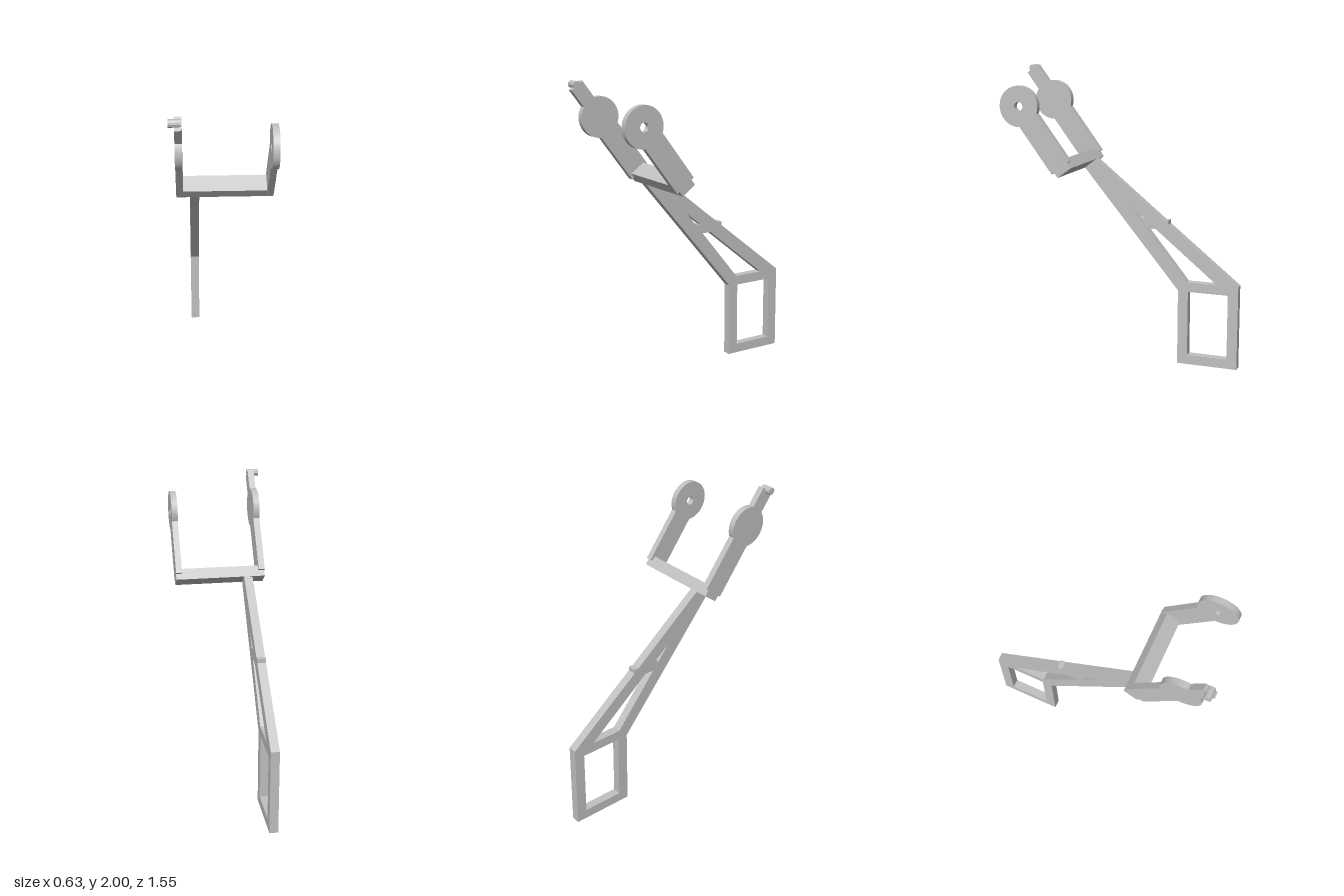
import * as THREE from 'three';
import { toCreasedNormals } from 'three/addons/utils/BufferGeometryUtils.js';

const TILT = -Math.atan2(0.6, 0.8); // lean of the fork towards the front
const PIVOT = { z: 0.58, y: 1.762 }; // centre of the round arm ends
const DISC = 0.132, ARM = 0.075, TIP = 0.047;

const points = (list) => list.map(([a, b]) => new THREE.Vector2(a, b));

// Extrudes a side profile (z, y) between two x positions
function plate(shape, x0, x1, inFork) {
  let g = new THREE.ExtrudeGeometry(shape, { depth: x1 - x0, bevelEnabled: false, curveSegments: 40 });
  if (inFork) g.rotateZ(TILT).translate(PIVOT.z, PIVOT.y, 0);
  g.rotateY(-Math.PI / 2).translate(x1, 0, 0);
  return toCreasedNormals(g, 0.4);
}

// Arm profile around the pivot, +y pointing along the arm
function armShape(withTip) {
  const a = Math.asin(ARM / DISC), b = Math.asin(TIP / DISC), q = Math.PI / 2;
  const s = new THREE.Shape();
  s.moveTo(-ARM, -0.477).lineTo(ARM, -0.477);
  if (withTip) {
    s.absarc(0, 0, DISC, -q + a, q - b, false);
    s.lineTo(TIP, 0.26).lineTo(-TIP, 0.26);
    s.absarc(0, 0, DISC, q + b, 3 * q - a, false);
  } else {
    s.absarc(0, 0, DISC, -q + a, 3 * q - a, false);
    s.holes.push(new THREE.Path().absarc(0, 0, 0.029, 0, Math.PI * 2, true));
  }
  s.closePath();
  return s;
}

export function createModel() {
  const model = new THREE.Group();
  const grey = new THREE.MeshStandardMaterial({ color: 0xc0c0c0 });
  grey.name = 'grey';
  const add = (name, geometry, parent = model) => {
    const m = new THREE.Mesh(geometry, grey);
    m.name = name;
    parent.add(m);
    return m;
  };

  // Handle and tapering truss in one plate, with a small tab on the back strut
  const frame = new THREE.Shape(points([
    [-0.775, 0], [-0.36, 0], [-0.36, 0.515], [0.312, 1.32], [0.228, 1.38],
    [-0.256, 0.99], [-0.29, 0.99], [-0.29, 0.963], [-0.775, 0.575],
  ]));
  frame.holes = [
    [[-0.705, 0.065], [-0.705, 0.51], [-0.43, 0.51], [-0.43, 0.065]],
    [[-0.63, 0.575], [-0.2, 0.925], [-0.135, 0.925], [-0.42, 0.575]],
    [[-0.12, 0.99], [-0.01, 1.075], [-0.1, 0.966], [-0.1, 0.99]],
  ].map((h) => new THREE.Path(points(h)));
  add('handleFrame', plate(frame, -0.2, -0.143));

  // Fork: crossbar and two arms with round ends
  const fork = new THREE.Group();
  fork.name = 'fork';
  model.add(fork);
  const bar = new THREE.Shape(points([[-0.055, -0.518], [0.055, -0.518], [0.055, -0.443], [-0.055, -0.443]]));
  add('crossbar', plate(bar, -0.2845, 0.3145, true), fork);
  add('leftArm', plate(armShape(false), 0.275, 0.315, true), fork);
  add('rightArm', plate(armShape(true), -0.285, -0.243, true), fork);

  // Peg sticking out of the right arm's tip
  const peg = new THREE.CylinderGeometry(0.024, 0.024, 0.076, 12);
  peg.rotateZ(Math.PI / 2);
  add('tipPeg', toCreasedNormals(peg, 0.4), fork).position.set(-0.282, 1.974, 0.737);

  return model;
}
